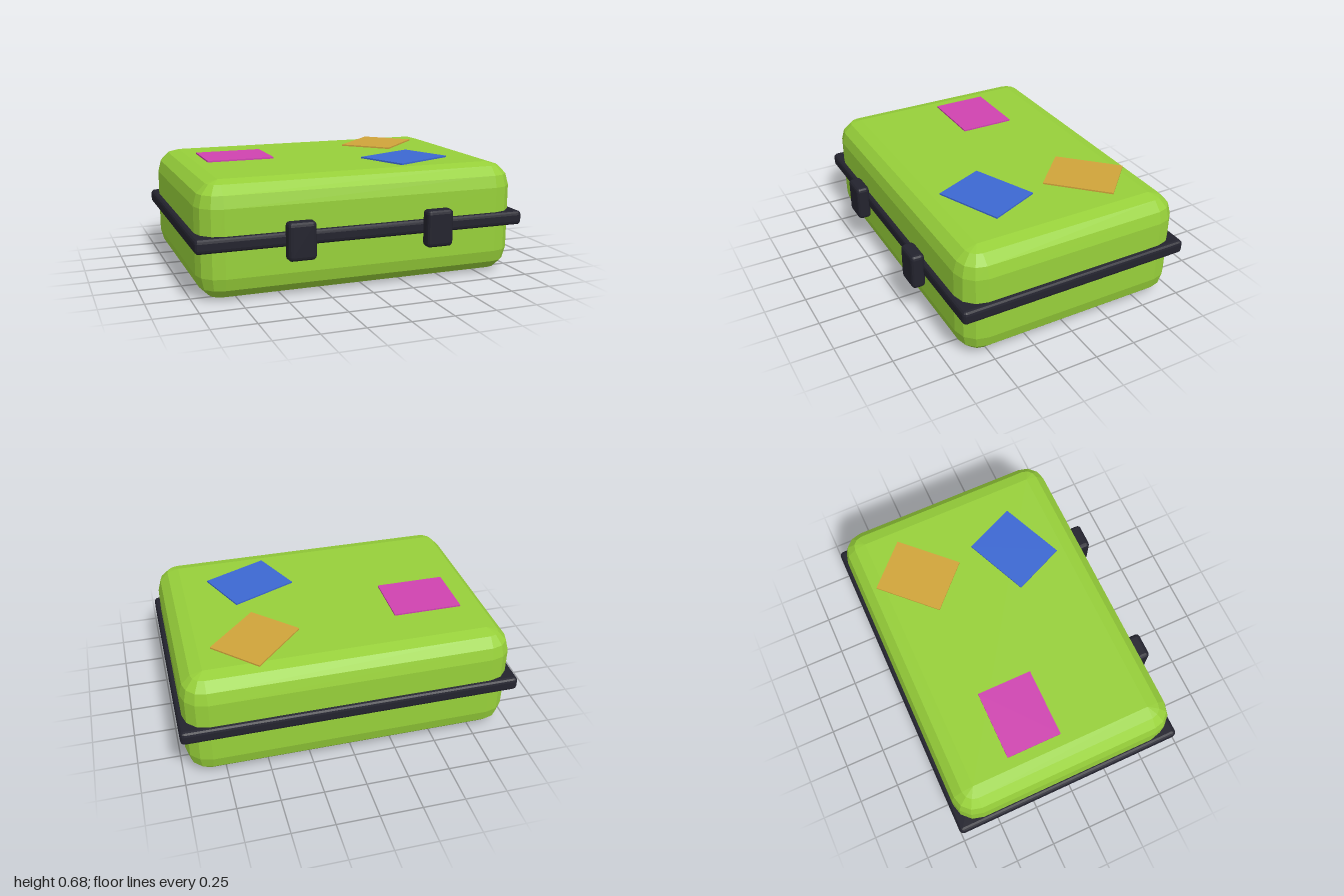
import * as THREE from 'three';

const material = (name, color) => {
  const m = new THREE.MeshStandardMaterial({ color });
  m.name = name;
  return m;
};

// Flat-shaded box whose edges and corners are rounded in three 30 degree steps.
function bevelBox(w, h, d, r) {
  const cx = w / 2 - r, cy = h / 2 - r, cz = d / 2 - r;
  const steps = 3;

  // One rounded-rectangle loop at a given latitude of the bevel
  const ring = (lat, side) => {
    const loop = [];
    const radius = r * Math.cos(lat);
    for (let k = 0; k < 4; k++) {
      const mid = (k + 0.5) * Math.PI / 2;
      for (let j = 0; j <= steps; j++) {
        const a = (k + j / steps) * Math.PI / 2;
        loop.push(new THREE.Vector3(
          Math.sign(Math.cos(mid)) * cx + radius * Math.cos(a),
          side * cy + r * Math.sin(lat),
          Math.sign(Math.sin(mid)) * cz + radius * Math.sin(a)));
      }
    }
    return loop;
  };

  const rings = [];
  for (let i = -steps; i <= 0; i++) rings.push(ring(i / steps * Math.PI / 2, -1));
  for (let i = 0; i <= steps; i++) rings.push(ring(i / steps * Math.PI / 2, 1));

  const positions = [];
  const tri = (a, b, c) => {
    const area = b.clone().sub(a).cross(c.clone().sub(a)).length();
    if (area > 1e-9) for (const p of [a, b, c]) positions.push(p.x, p.y, p.z);
  };
  const n = rings[0].length;
  for (let i = 0; i < rings.length - 1; i++) {
    for (let j = 0; j < n; j++) {
      const k = (j + 1) % n;
      const lo = rings[i], hi = rings[i + 1];
      tri(lo[j], hi[j], lo[k]);
      tri(lo[k], hi[j], hi[k]);
    }
  }
  // Bottom and top caps
  const bottom = rings[0], top = rings[rings.length - 1];
  for (let j = 1; j < n - 1; j++) {
    tri(bottom[0], bottom[j], bottom[j + 1]);
    tri(top[0], top[j + 1], top[j]);
  }

  const geometry = new THREE.BufferGeometry();
  geometry.setAttribute('position', new THREE.Float32BufferAttribute(positions, 3));
  geometry.computeVertexNormals();
  return geometry;
}

export function createModel() {
  const green = material('shell green', 0x97d03a);
  const black = material('trim black', 0x23232e);
  const pink = material('sticker pink', 0xcf43b0);
  const blue = material('sticker blue', 0x3c68d2);
  const orange = material('sticker orange', 0xd0a43a);

  const group = new THREE.Group();
  group.name = 'suitcase';
  const add = (name, geometry, mat, x, y, z) => {
    const mesh = new THREE.Mesh(geometry, mat);
    mesh.name = name;
    mesh.position.set(x, y, z);
    group.add(mesh);
    return mesh;
  };

  // Shell and the seam band around it
  add('shell', bevelBox(1.94, 0.67, 1.39, 0.14), green, 0, 0.335, -0.035);
  add('seamBand', bevelBox(2, 0.085, 1.44, 0.024), black, 0, 0.338, -0.035);

  // Front latches
  for (const [name, x] of [['rightLatch', -0.418], ['leftLatch', 0.418]]) {
    add(name, bevelBox(0.165, 0.22, 0.083, 0.024), black, x, 0.336, 0.7135);
  }

  // Stickers on the lid
  const sticker = new THREE.BoxGeometry(0.414, 0.0095, 0.335);
  const stickers = [
    ['pinkSticker', pink, -0.558, -0.178, 0],
    ['orangeSticker', orange, 0.495, -0.37, 0.79],
    ['blueSticker', blue, 0.415, 0.24, 0.41],
  ];
  for (const [name, mat, x, z, turn] of stickers) {
    add(name, sticker, mat, x, 0.6745, z).rotation.y = turn;
  }

  return group;
}
